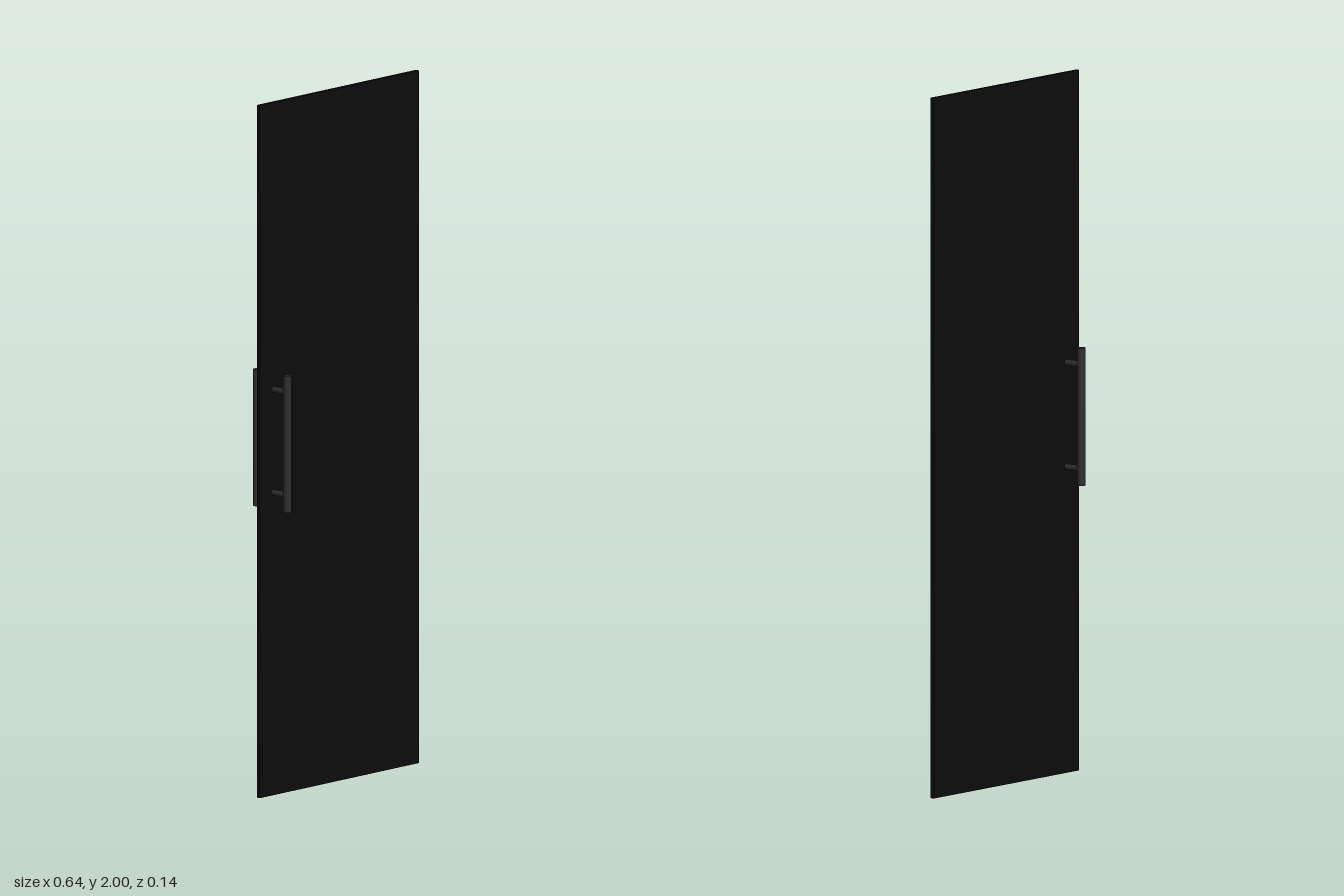
import * as THREE from 'three';

export function createModel() {
  const model = new THREE.Group();
  model.name = 'door';

  const panelMaterial = new THREE.MeshStandardMaterial({ color: 0x0c0c0c });
  const handleMaterial = new THREE.MeshStandardMaterial({ color: 0x2e2e2e });

  // Thin door panel
  const panel = new THREE.Mesh(new THREE.BoxGeometry(0.636, 2, 0.0116), panelMaterial);
  panel.name = 'panel';
  panel.position.y = 1;
  model.add(panel);

  // Pull handle: a vertical bar on each face, joined by two posts through the panel
  const handle = new THREE.Group();
  handle.name = 'handle';
  handle.position.set(-0.262, 1.023, 0);
  model.add(handle);

  const barGeometry = new THREE.CylinderGeometry(0.0116, 0.0116, 0.394, 32);
  for (const side of [1, -1]) {
    const bar = new THREE.Mesh(barGeometry, handleMaterial);
    bar.name = side > 0 ? 'frontBar' : 'backBar';
    bar.position.z = side * 0.06;
    handle.add(bar);
  }

  const postGeometry = new THREE.CylinderGeometry(0.0087, 0.0087, 0.12, 32).rotateX(Math.PI / 2);
  for (const end of [1, -1]) {
    const post = new THREE.Mesh(postGeometry, handleMaterial);
    post.name = end > 0 ? 'upperPost' : 'lowerPost';
    post.position.y = end * 0.149;
    handle.add(post);
  }

  return model;
}
